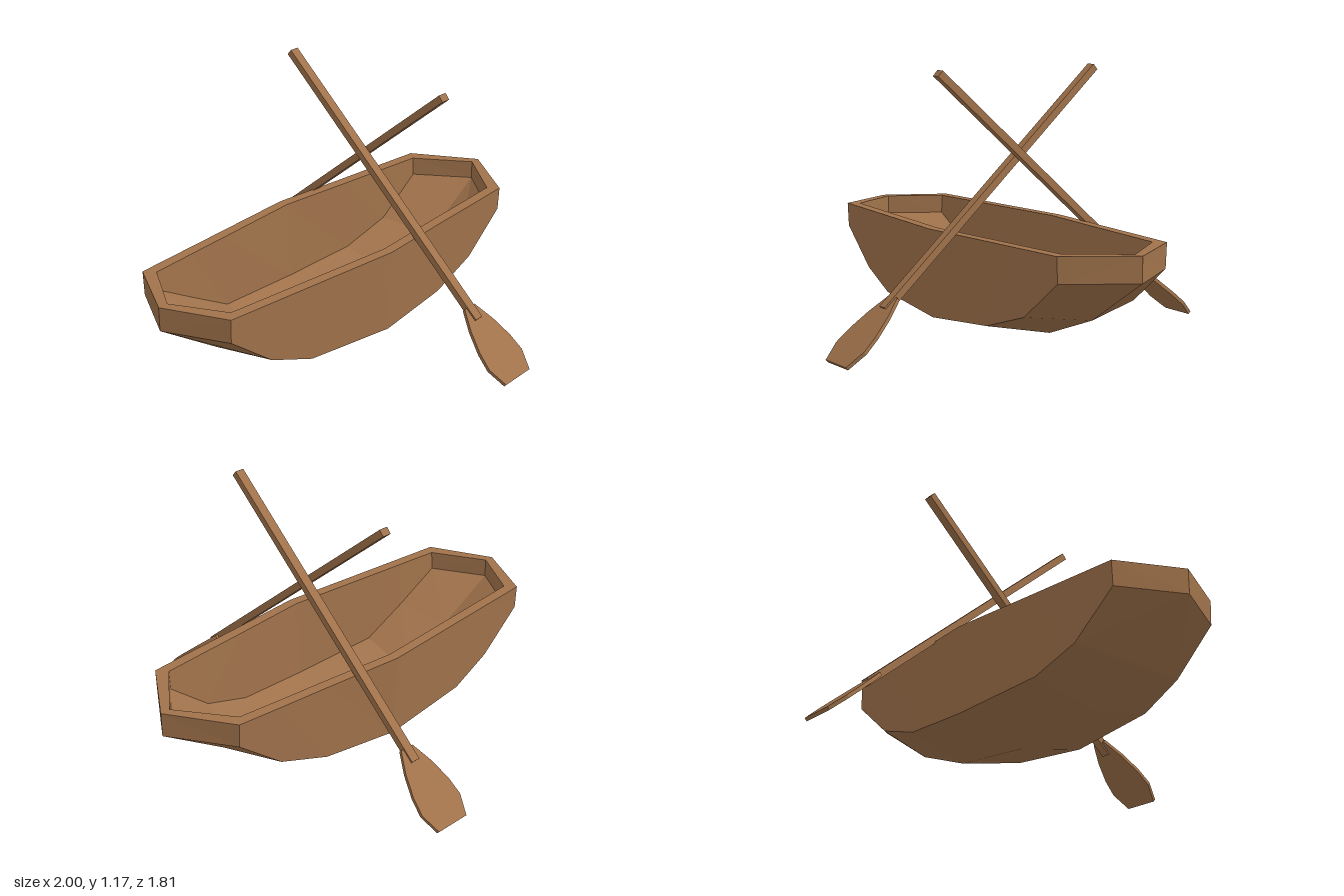
import * as THREE from 'three';

const wood = new THREE.MeshStandardMaterial({ color: 0xa0724b, flatShading: true });
wood.name = 'wood brown';

// Hull stations from end to end: keel [x, y], chine [x, y, half width], rim half width
const keel = [[-1, 0.37], [-0.71, 0.165], [-0.44, 0.055], [0, 0.013], [0.4, 0.055], [0.69, 0.165], [1, 0.37]];
const chine = [[-0.86, 0.37, 0.275], [-0.65, 0.2, 0.285], [-0.44, 0.12, 0.305], [0, 0.09, 0.335],
  [0.37, 0.12, 0.305], [0.61, 0.2, 0.285], [0.82, 0.37, 0.275]];
const rim = [0.28, 0.297, 0.314, 0.35, 0.317, 0.298, 0.28];
const RIM_Y = 0.48, SHRINK = 0.955, WALL = 0.046, FLOOR = 0.025;

// One row of points, closed at both ends by the stem points
const row = (points, tipX, tipY) => [[-tipX, tipY, 0], ...points, [tipX, tipY, 0]];

function hullRows() {
  const innerChine = chine.map(([x, y, z]) => [x * SHRINK, y + FLOOR, z - WALL]);
  const innerKeel = keel.map(([x, y]) => [x * SHRINK, y + FLOOR, 0]);
  // The floor rises in one straight ramp at the -x end
  innerChine[1][1] = 0.27;
  innerKeel[1][1] = 0.235;
  return [
    row(keel.map(([x, y]) => [x, y, 0]), 1, 0.37),
    row(chine, 1, 0.37),
    row(chine.map(([x], i) => [x, RIM_Y, rim[i]]), 1, RIM_Y),
    row(chine.map(([x], i) => [x * SHRINK, RIM_Y, rim[i] - WALL]), SHRINK, RIM_Y),
    row(innerChine, SHRINK, 0.37 + FLOOR),
    row(innerKeel, SHRINK, 0.37 + FLOOR),
  ];
}

// Skin the rows on one side, then mirror to the other
function hullGeometry() {
  const rows = hullRows(), positions = [];
  const triangle = (a, b, c) => {
    const [A, B, C] = [a, b, c].map((p) => new THREE.Vector3(...p));
    if (B.clone().sub(A).cross(C.clone().sub(A)).length() < 1e-6) return;
    for (const p of [a, b, c]) positions.push(...p);
    for (const p of [a, c, b]) positions.push(p[0], p[1], -p[2]);
  };
  for (let j = 0; j < rows.length - 1; j++) {
    for (let i = 0; i < rows[j].length - 1; i++) {
      const a = rows[j][i], b = rows[j][i + 1], c = rows[j + 1][i + 1], d = rows[j + 1][i];
      triangle(a, b, c);
      triangle(a, c, d);
    }
  }
  const geometry = new THREE.BufferGeometry();
  geometry.setAttribute('position', new THREE.Float32BufferAttribute(positions, 3));
  geometry.computeVertexNormals();
  return geometry;
}

// Oar along +y with the blade end at the origin
function createOar(name) {
  const oar = new THREE.Group();
  oar.name = name;
  const half = [[0.082, 0], [0.113, 0.09], [0.104, 0.17], [0.075, 0.27], [0.033, 0.365]];
  const outline = [...half, ...half.map(([x, y]) => [-x, y]).reverse()];
  const shape = new THREE.Shape(outline.map(([x, y]) => new THREE.Vector2(x, y)));
  const bladeGeometry = new THREE.ExtrudeGeometry(shape, { depth: 0.016, bevelEnabled: false });
  bladeGeometry.translate(0, 0, -0.008);
  const blade = new THREE.Mesh(bladeGeometry, wood);
  blade.name = 'oarBlade';
  const shaft = new THREE.Mesh(new THREE.BoxGeometry(0.042, 1.455, 0.032), wood);
  shaft.name = 'oarShaft';
  shaft.position.y = 0.3 + 1.455 / 2;
  oar.add(blade, shaft);
  return oar;
}

export function createModel() {
  const boat = new THREE.Group();
  boat.name = 'rowingBoat';

  const hull = new THREE.Mesh(hullGeometry(), wood);
  hull.name = 'hull';
  hull.position.z = -0.01;
  boat.add(hull);

  // Crossed oars, each leaning over the hull
  const frontOar = createOar('frontOar');
  frontOar.position.set(0.195, 0.007, 0.9);
  frontOar.rotation.set(-0.854, 0, 0.025);
  const backOar = createOar('backOar');
  backOar.position.set(0.21, 0.007, -0.9);
  backOar.rotation.x = 0.854;
  boat.add(frontOar, backOar);
  return boat;
}
